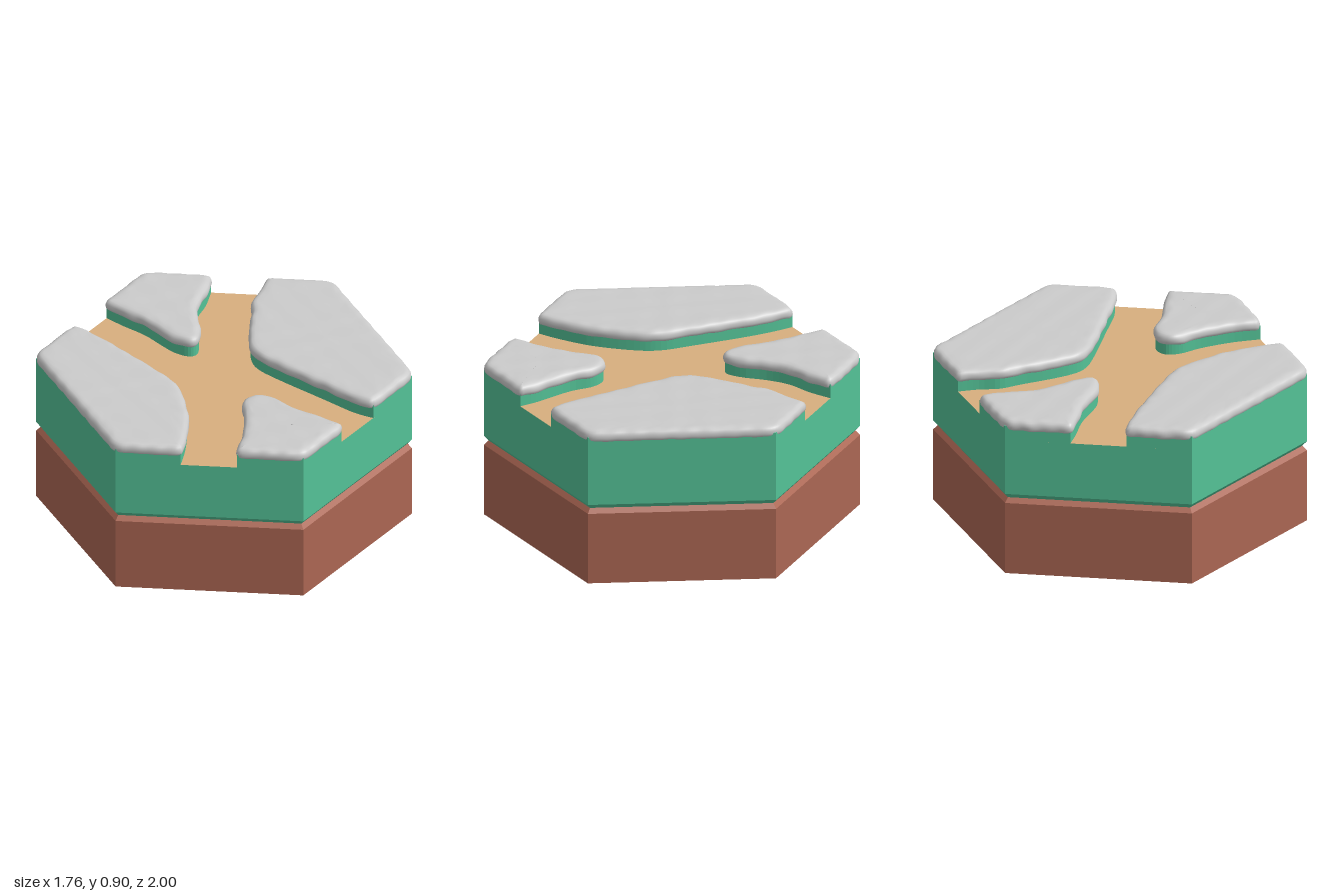
import * as THREE from 'three';

const A = Math.sqrt(3) / 2; // distance from centre to a hexagon side
const PATH_Y = 0.78, BANK_Y = 0.86;

const mat = (color, flatShading) => new THREE.MeshStandardMaterial({ color, flatShading });

function add(parent, name, geometry, material) {
  const mesh = new THREE.Mesh(geometry, material);
  mesh.name = name;
  parent.add(mesh);
  return mesh;
}

// Six-sided prism from a [radius, height] profile
const hexLathe = (profile) =>
  new THREE.LatheGeometry(profile.map(([r, y]) => new THREE.Vector2(r, y)), 6);

// Raised plots between the paths: curved edge along the path, then hexagon corners, as [x, z]
const plots = {
  backRight: {
    edge: [[0.866, -0.145], [0.75, -0.13], [0.55, -0.145], [0.22, -0.17], [0.08, -0.195], [0, -0.25],
      [-0.08, -0.36], [-0.17, -0.51], [-0.235, -0.61], [-0.26, -0.72], [-0.3, -0.827]],
    corners: [[0, -1], [A, -0.5]],
  },
  backLeft: {
    edge: [[-0.56, -0.677], [-0.505, -0.55], [-0.47, -0.42], [-0.4, -0.31], [-0.31, -0.21], [-0.265, -0.13],
      [-0.29, -0.085], [-0.37, -0.073], [-0.46, -0.09], [-0.6, -0.125], [-0.75, -0.135], [-0.866, -0.15]],
    corners: [[-A, -0.5]],
  },
  frontLeft: {
    edge: [[-0.866, 0.15], [-0.75, 0.16], [-0.6, 0.185], [-0.3, 0.255], [-0.13, 0.3], [-0.01, 0.38],
      [0.14, 0.54], [0.24, 0.7], [0.3, 0.827]],
    corners: [[0, 1], [-A, 0.5]],
  },
  frontRight: {
    edge: [[0.56, 0.677], [0.5, 0.53], [0.41, 0.38], [0.33, 0.285], [0.305, 0.21], [0.34, 0.155],
      [0.42, 0.135], [0.55, 0.155], [0.75, 0.145], [0.866, 0.15]],
    corners: [[A, 0.5]],
  },
};

// Closed outline in plan, counter-clockwise seen from above
function outline({ edge, corners }) {
  const toV = ([x, z]) => new THREE.Vector2(x, -z);
  const pts = [...new THREE.SplineCurve(edge.map(toV)).getPoints(40), ...corners.map(toV)];
  return THREE.ShapeUtils.area(pts) < 0 ? pts.reverse() : pts;
}

// Rounds the sharp corners of an outline and spaces its points evenly
function soften(pts, count) {
  const n = pts.length, out = [];
  pts.forEach((p, i) => {
    const a = pts[(i + n - 1) % n].clone().sub(p), b = pts[(i + 1) % n].clone().sub(p);
    if (a.angleTo(b) > Math.PI - 0.4) return out.push(p);
    const start = p.clone().addScaledVector(a, Math.min(0.05 / a.length(), 0.9));
    const end = p.clone().addScaledVector(b, Math.min(0.05 / b.length(), 0.45));
    out.push(...new THREE.QuadraticBezierCurve(start, p, end).getPoints(6));
  });
  const shape = new THREE.Shape(out);
  shape.closePath();
  return shape.getSpacedPoints(count).slice(0, count);
}

// Snow cap: rounded lip swept round the outline, then rings closing in on the middle
function snowGeometry(pts) {
  const N = 180, ring = soften(pts, N);
  const centre = ring.reduce((s, p) => s.add(p), new THREE.Vector2()).divideScalar(N);
  const normals = ring.map((p, i) => {
    const t = ring[(i + 2) % N].clone().sub(ring[(i + N - 2) % N]).normalize();
    return new THREE.Vector2(t.y, -t.x);
  });
  const lip = [[-0.02, 0.838], [-0.002, 0.835], [0.006, 0.843], [0.01, 0.856], [0.009, 0.872],
    [0.002, 0.886], [-0.01, 0.894], [-0.026, 0.897]];
  const scales = [0.93, 0.84, 0.72, 0.6, 0.46, 0.32, 0.18, 0.06, 0];
  const pos = [], index = [];
  const bump = (x, y) => Math.sin(x * 21 + y * 9) * Math.sin(y * 27 - x * 6);

  lip.forEach(([offset, y]) => ring.forEach((p, i) => {
    const wobble = 0.003 * Math.sin(p.x * 38 + p.y * 17) * Math.cos(p.y * 45 - y * 30);
    const q = p.clone().addScaledVector(normals[i], offset + wobble);
    pos.push(q.x, y + 0.0015 * bump(q.x * 2, q.y * 2), -q.y);
  }));
  scales.forEach((s) => ring.forEach((p, i) => {
    const q = p.clone().addScaledVector(normals[i], -0.026).sub(centre).multiplyScalar(s).add(centre);
    pos.push(q.x, 0.898 + 0.0015 * bump(q.x, q.y), -q.y);
  }));
  for (let r = 0; r < lip.length + scales.length - 1; r++) {
    for (let i = 0; i < N; i++) {
      const a = r * N + i, b = r * N + (i + 1) % N;
      index.push(a, b, b + N, a, b + N, a + N);
    }
  }
  const g = new THREE.BufferGeometry();
  g.setAttribute('position', new THREE.Float32BufferAttribute(pos, 3));
  g.setIndex(index);
  g.computeVertexNormals();
  return g;
}

export function createModel() {
  const model = new THREE.Group();
  model.name = 'snowyCrossroadTile';
  const dirt = mat(0xab6653, true), grass = mat(0x54c297, true);
  const sand = mat(0xd8af7e, true), snow = mat(0xcccccc, false);

  // Stacked hexagonal layers with a bevelled groove between them
  add(model, 'dirtBase', hexLathe([[0, 0], [1, 0], [1, 0.41], [0.975, 0.435], [0, 0.435]]), dirt);
  add(model, 'grassLayer', hexLathe([[0, 0.435], [0.975, 0.435], [1, 0.463], [1, PATH_Y]]), grass);

  // Sunken crossing path
  const path = add(model, 'path', new THREE.CircleGeometry(1, 6, Math.PI / 6).rotateX(-Math.PI / 2), sand);
  path.position.y = PATH_Y;

  // Grass banks with snow on top
  for (const [name, plot] of Object.entries(plots)) {
    const group = new THREE.Group();
    group.name = name + 'Plot';
    const pts = outline(plot);
    const bank = new THREE.ExtrudeGeometry(new THREE.Shape(pts), { depth: BANK_Y - PATH_Y, bevelEnabled: false });
    add(group, 'grassBank', bank.rotateX(-Math.PI / 2), grass).position.y = PATH_Y;
    add(group, 'snowCap', snowGeometry(pts), snow);
    model.add(group);
  }
  return model;
}
